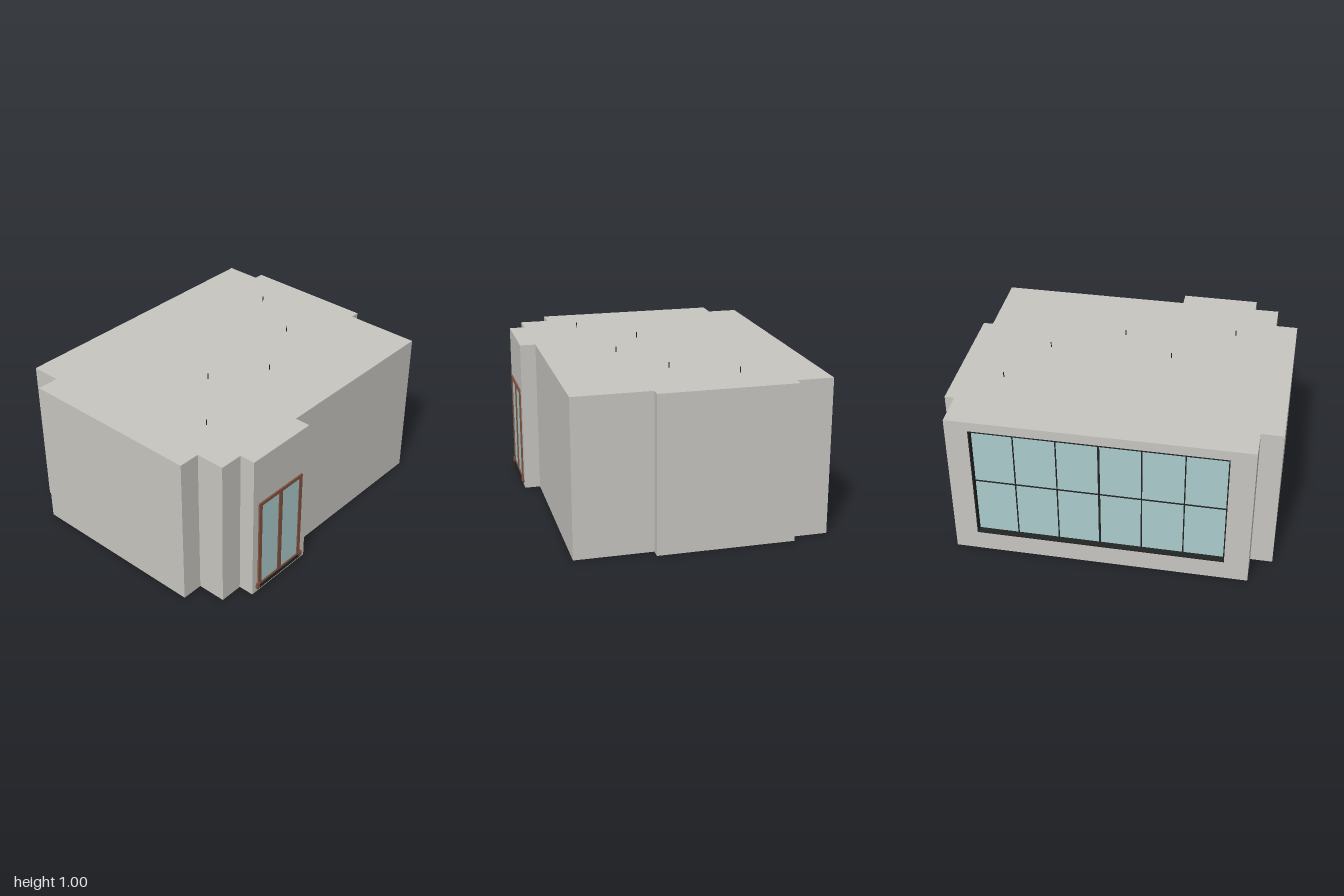
import * as THREE from 'three';

const mat = (name, color) => Object.assign(new THREE.MeshStandardMaterial({ color }), { name });

export function createModel() {
  const group = new THREE.Group();
  const wall = mat('wall grey', 0xc8c6c1);
  const glass = mat('pale teal glass', 0xaccccc);
  const wood = mat('brown wood', 0x835440);
  const dark = mat('dark metal', 0x222424);

  const H = 0.965, BACK = -0.825, T = 0.045, FLOOR = 0.02;

  const add = (name, geo, material, parent = group) => {
    const m = new THREE.Mesh(geo, material);
    m.name = name;
    parent.add(m);
    return m;
  };
  // Box given by its minimum and maximum corners
  const box = (name, material, parent, x0, x1, y0, y1, z0, z1) => {
    const g = new THREE.BoxGeometry(x1 - x0, y1 - y0, z1 - z0);
    g.translate((x0 + x1) / 2, (y0 + y1) / 2, (z0 + z1) / 2);
    return add(name, g, material, parent);
  };
  // Footprint in x and z, starting along the back wall
  const footprint = (back) => [
    [-0.865, back], [0.94, back], [0.94, -0.6], [1, -0.6], [1, 0.235], [0.94, 0.235],
    [0.94, 0.71], [-0.235, 0.71], [-0.235, 0.808], [-0.715, 0.808], [-0.715, 0.71],
    [-0.865, 0.71], [-0.865, 0.53], [-1, 0.53], [-1, -0.635], [-0.865, -0.635],
  ].map(([x, z]) => new THREE.Vector2(x, -z));
  // Moves a right-angled outline inward by t
  const inset = (pts, t) => pts.map((p, i) => {
    const n = pts.length;
    const a = p.clone().sub(pts[(i + n - 1) % n]).normalize();
    const b = pts[(i + 1) % n].clone().sub(p).normalize();
    return new THREE.Vector2(p.x + t * (a.y + b.y), p.y - t * (a.x + b.x));
  });
  const slab = (shape, y0, y1) => {
    const g = new THREE.ExtrudeGeometry(shape, { depth: y1 - y0, bevelEnabled: false });
    return g.rotateX(-Math.PI / 2).translate(0, y0, 0);
  };

  // Main block, with a rim below the recessed floor
  add('buildingBlock', slab(new THREE.Shape(footprint(BACK + T)), FLOOR, H), wall);
  const rim = new THREE.Shape(footprint(BACK));
  rim.holes.push(new THREE.Path(inset(footprint(BACK), T)));
  add('wallRim', slab(rim, 0, FLOOR), wall);

  // Back wall with the window opening
  const W = { x0: -0.718, x1: 0.8, y0: 0.128, y1: 0.903 };
  const rect = (P, x0, x1, y0, y1) => new P([[x0, y0], [x1, y0], [x1, y1], [x0, y1]]
    .map(([x, y]) => new THREE.Vector2(x, y)));
  const backShape = rect(THREE.Shape, -0.865, 0.94, FLOOR, H);
  backShape.holes.push(rect(THREE.Path, W.x0, W.x1, W.y0, W.y1));
  add('backWall', new THREE.ExtrudeGeometry(backShape, { depth: T, bevelEnabled: false })
    .translate(0, 0, BACK), wall);

  // Wide window set into the back wall
  const win = new THREE.Group();
  win.name = 'backWindow';
  group.add(win);
  const f = 0.007, zf = BACK - 0.002, zg = BACK + 0.038;
  box('windowGlass', glass, win, W.x0, W.x1, W.y0, W.y1, zg, zg + 0.006);
  for (const x of [W.x0, W.x1 - f]) box('windowJamb', dark, win, x, x + f, W.y0, W.y1, zf, zg);
  for (const y of [W.y0, W.y1 - f]) box('windowRail', dark, win, W.x0, W.x1, y, y + f, zf, zg);
  for (let i = 1; i < 6; i++) {
    const x = W.x0 + (W.x1 - W.x0) * i / 6, h = i === 3 ? 0.006 : 0.0035;
    box('mullion', dark, win, x - h, x + h, W.y0, W.y1, zg - 0.005, zg);
  }
  box('transom', dark, win, W.x0, W.x1, 0.508, 0.515, zg - 0.005, zg);

  // Double glass door on the front porch
  const door = new THREE.Group();
  door.name = 'frontDoor';
  group.add(door);
  box('doorGlass', glass, door, -0.66, -0.3, 0.05, 0.645, 0.804, 0.811);
  for (const [x0, x1] of [[-0.67, -0.645], [-0.495, -0.465], [-0.312, -0.287]]) {
    box('doorPost', wood, door, x0, x1, 0.045, 0.655, 0.8, 0.817);
  }
  box('doorHead', wood, door, -0.67, -0.287, 0.633, 0.655, 0.8, 0.817);
  box('doorBottomRail', wood, door, -0.67, -0.287, 0.046, 0.06, 0.8, 0.817);
  box('doorSill', dark, door, -0.68, -0.275, 0.024, 0.048, 0.8, 0.82);
  for (const x of [-0.684, -0.296]) box('sillBracket', wood, door, x, x + 0.024, 0.03, 0.066, 0.8, 0.822);

  // Fine rods standing on the roof
  for (const [x, z] of [[0.71, -0.34], [0.505, 0.035], [-0.255, 0.045], [-0.62, 0.37], [0.07, 0.255]]) {
    add('roofRod', new THREE.CylinderGeometry(0.003, 0.003, 0.035, 6)
      .translate(x, H + 0.0175, z), dark);
  }
  return group;
}
